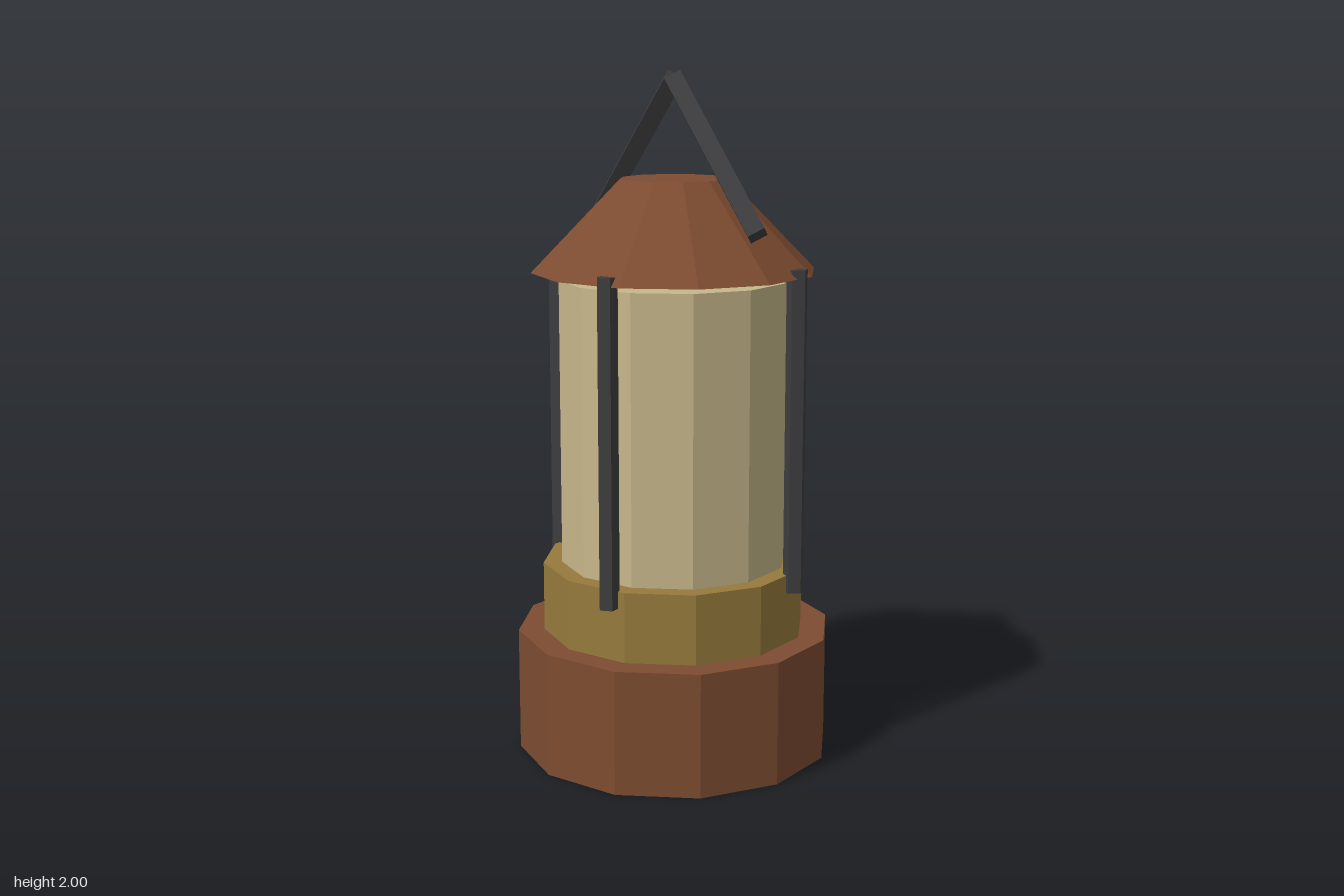
import * as THREE from 'three';

const flat = (name, color) => {
  const m = new THREE.MeshStandardMaterial({ color, flatShading: true });
  m.name = name;
  return m;
};

export function createModel() {
  const lantern = new THREE.Group();
  lantern.name = 'lantern';

  const copper = flat('copper brown', 0x7d4c31);
  const brass = flat('dull brass', 0x967a3c);
  const glass = flat('warm glass', 0xc6b78a);
  const iron = flat('dark iron', 0x3d3d3f);

  // Upright prism or frustum spanning y0..y1
  const drum = (name, material, rBottom, rTop, y0, y1, sides = 12) => {
    const mesh = new THREE.Mesh(new THREE.CylinderGeometry(rTop, rBottom, y1 - y0, sides), material);
    mesh.name = name;
    mesh.position.y = (y0 + y1) / 2;
    lantern.add(mesh);
    return mesh;
  };

  // Stacked twelve-sided body
  drum('base', copper, 0.467, 0.467, 0, 0.365);
  drum('collar', brass, 0.39, 0.39, 0.365, 0.57);
  drum('glassChimney', glass, 0.335, 0.335, 0.57, 1.407);
  drum('roof', copper, 0.415, 0.156, 1.43, 1.695);

  // Four five-sided guard posts, each a quarter turn from the last
  for (let i = 0; i < 4; i++) {
    const turn = (i * Math.PI) / 2;
    const post = drum('guardPost', iron, 0.031, 0.031, 0.52, 1.455, 5);
    post.rotation.y = turn;
    post.position.x = 0.152 * Math.cos(turn) + 0.36 * Math.sin(turn);
    post.position.z = 0.36 * Math.cos(turn) - 0.152 * Math.sin(turn);
  }

  // Peaked carrying handle made of two diamond-section bars
  const peak = new THREE.Vector3(0, 1.976, 0);
  for (const side of [-1, 1]) {
    const foot = new THREE.Vector3(0.362 * side, 1.56, 0);
    const along = peak.clone().sub(foot);
    const bar = new THREE.Mesh(new THREE.CylinderGeometry(0.036, 0.036, along.length(), 4), iron);
    bar.name = side < 0 ? 'handleBarRight' : 'handleBarLeft';
    bar.position.copy(foot).add(peak).multiplyScalar(0.5);
    bar.quaternion.setFromUnitVectors(new THREE.Vector3(0, 1, 0), along.normalize());
    lantern.add(bar);
  }

  return lantern;
}
